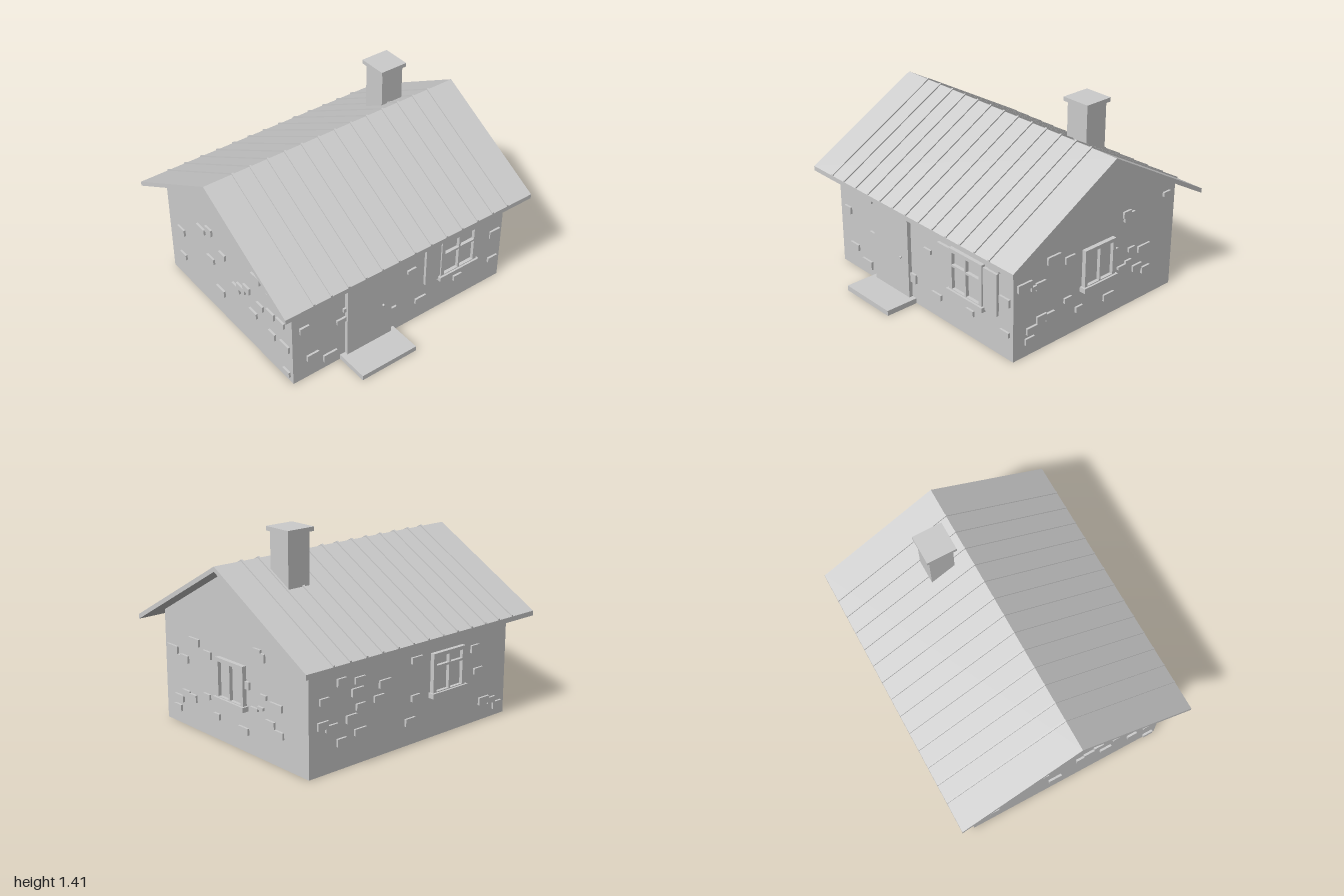
import * as THREE from 'three';

const stone = new THREE.MeshStandardMaterial({ color: 0xcccccc });
stone.name = 'light grey';

function add(parent, geometry, name, x = 0, y = 0, z = 0) {
  const mesh = new THREE.Mesh(geometry, stone);
  mesh.name = name;
  mesh.position.set(x, y, z);
  parent.add(mesh);
  return mesh;
}

// Box given by its limits on each axis
function block(parent, name, x0, x1, y0, y1, z0, z1) {
  return add(parent, new THREE.BoxGeometry(x1 - x0, y1 - y0, z1 - z0), name,
    (x0 + x1) / 2, (y0 + y1) / 2, (z0 + z1) / 2);
}

// Outline in (z, y), extruded along x
function alongX(points, width) {
  const shape = new THREE.Shape(points.map(p => new THREE.Vector2(...p)));
  return new THREE.ExtrudeGeometry(shape, { depth: width, bevelEnabled: false })
    .translate(0, 0, -width / 2).rotateY(-Math.PI / 2);
}

const RIDGE = -0.06, FRONT = 0.665, BACK = -0.78, SIDE = 0.875;
const EAVE_F = 0.785, EAVE_B = -0.905;

// Bent strip following both roof slopes between two heights above the underside
function chevron(low, high, width) {
  return alongX([
    [EAVE_F, 0.685 + low], [EAVE_F, 0.685 + high], [RIDGE, 1.16 + high],
    [EAVE_B, 0.685 + high], [EAVE_B, 0.685 + low], [RIDGE, 1.16 + low],
  ], width);
}

// Raised stones: rows of u0, u1, y0, y1 on a wall
function stones(wall, list) {
  for (const [u0, u1, y0, y1] of list) block(wall, 'wallStone', u0, u1, y0, y1, -0.01, 0.015);
}

// Raised stones of one usual size, given by their centres
function smallStones(wall, list) {
  list.forEach(([u, y], i) => {
    const w = 0.036 + 0.006 * (i % 3), h = 0.021 + 0.004 * (i % 2);
    block(wall, 'wallStone', u - w, u + w, y - h, y + h, -0.01, 0.015);
  });
}

// Window frame with rectangular openings, and a sill below it
function makeWindow(wall, u0, u1, y0, y1, panes) {
  const rect = (path, a, b, c, d) =>
    path.moveTo(a, c).lineTo(b, c).lineTo(b, d).lineTo(a, d).closePath();
  const shape = new THREE.Shape();
  rect(shape, u0, u1, y0, y1);
  for (const p of panes) {
    const hole = new THREE.Path();
    rect(hole, ...p);
    shape.holes.push(hole);
  }
  add(wall, new THREE.ExtrudeGeometry(shape, { depth: 0.03, bevelEnabled: false }), 'windowFrame');
  block(wall, 'windowGlass', u0 + 0.01, u1 - 0.01, y0, y1 - 0.01, 0, 0.006);
  block(wall, 'windowSill', u0 - 0.015, u1 + 0.015, y0 - 0.033, y0, -0.01, 0.045);
}

// Four panes: two tall ones under two short ones
function fourPanes(u0, u1, y0, y1) {
  const m = (u0 + u1) / 2, rows = [[y0 + 0.005, y0 + 0.165], [y0 + 0.18, y1 - 0.025]];
  return rows.flatMap(([a, b]) => [[u0 + 0.028, m - 0.007, a, b], [m + 0.007, u1 - 0.028, a, b]]);
}

export function createModel() {
  const house = new THREE.Group();
  house.name = 'cottage';

  // Walls with gables
  add(house, alongX([
    [FRONT, 0], [FRONT, 0.753], [RIDGE, 1.161], [BACK, 0.753], [BACK, 0],
  ], SIDE * 2), 'walls');

  // Roof and its standing seams
  add(house, chevron(0, 0.033, 2), 'roof');
  for (let i = 0; i < 13; i++) {
    add(house, chevron(0.02, 0.043, 0.013), 'roofSeam', -0.787 + i * 0.1312);
  }

  // Chimney
  block(house, 'chimney', 0.475, 0.645, 0.98, 1.38, -0.333, -0.163);
  block(house, 'chimneyCap', 0.455, 0.662, 1.38, 1.408, -0.353, -0.145);

  // One group per wall: local x runs along the wall, local z points outward
  const wall = (name, x, z, turn) => {
    const group = new THREE.Group();
    group.name = name;
    group.position.set(x, 0, z);
    group.rotation.y = turn;
    house.add(group);
    return group;
  };
  const front = wall('frontWall', 0, FRONT, 0);
  const left = wall('leftWall', SIDE, 0, Math.PI / 2);
  const back = wall('backWall', 0, BACK, Math.PI);
  const right = wall('rightWall', -SIDE, 0, -Math.PI / 2);

  // Door, knob and doorstep
  block(front, 'door', -0.465, -0.105, 0.037, 0.65, -0.01, 0.028);
  add(front, new THREE.SphereGeometry(0.009, 12, 8), 'doorKnob', -0.178, 0.315, 0.034);
  block(front, 'doorstep', -0.505, -0.065, 0, 0.037, -0.01, 0.24);

  // Windows and shutters
  makeWindow(front, 0.312, 0.622, 0.295, 0.585, fourPanes(0.312, 0.622, 0.295, 0.585));
  block(front, 'shutter', 0.187, 0.312, 0.275, 0.57, -0.01, 0.02);
  block(front, 'shutter', 0.622, 0.745, 0.275, 0.57, -0.01, 0.02);
  makeWindow(left, -0.08, 0.195, 0.31, 0.57,
    [[-0.055, 0.05, 0.315, 0.545], [0.063, 0.17, 0.315, 0.545]]);
  makeWindow(back, 0.15, 0.446, 0.31, 0.572, fourPanes(0.15, 0.446, 0.31, 0.572));

  // Stones standing out of the plaster
  stones(front, [
    [-0.82, -0.75, 0.405, 0.455], [-0.58, -0.505, 0.575, 0.61], [-0.77, -0.68, 0.145, 0.19],
    [-0.64, -0.535, 0.055, 0.115], [-0.535, -0.46, 0.325, 0.36], [-0.485, -0.45, 0.405, 0.435],
    [-0.11, -0.05, 0.155, 0.22], [0.04, 0.11, 0.44, 0.47], [0.115, 0.205, 0.14, 0.18],
    [0.45, 0.52, 0.165, 0.205], [0.765, 0.845, 0.165, 0.2], [0.76, 0.85, 0.38, 0.435],
    [0.665, 0.76, 0.58, 0.635], [0.7, 0.785, 0.615, 0.655], [0.065, 0.125, 0.66, 0.7],
    [-0.415, -0.365, 0.68, 0.71],
  ]);
  stones(left, [
    [-0.39, -0.28, 0.58, 0.63], [-0.635, -0.52, 0.48, 0.53], [-0.525, -0.46, 0.45, 0.48],
    [-0.485, -0.405, 0.44, 0.49], [-0.235, -0.155, 0.525, 0.575], [0.28, 0.35, 0.665, 0.71],
    [0.29, 0.385, 0.635, 0.69], [0.66, 0.725, 0.695, 0.725], [0.19, 0.235, 0.425, 0.475],
    [0.34, 0.4, 0.4, 0.43], [0.435, 0.545, 0.36, 0.405], [0.245, 0.315, 0.305, 0.325],
    [0.315, 0.37, 0.325, 0.345], [0.39, 0.475, 0.235, 0.28], [0.48, 0.555, 0.19, 0.235],
    [-0.24, -0.175, 0.25, 0.285], [-0.475, -0.395, 0.2, 0.25], [-0.4, -0.325, 0.19, 0.24],
    [-0.56, -0.47, 0.155, 0.2], [-0.57, -0.495, 0.085, 0.13], [-0.135, -0.075, 0.14, 0.18],
    [0.12, 0.215, 0.12, 0.165],
  ]);
  smallStones(back, [
    [-0.76, 0.47], [-0.77, 0.32], [-0.7, 0.29], [-0.62, 0.56], [-0.47, 0.54], [-0.49, 0.47],
    [-0.465, 0.37], [-0.54, 0.31], [-0.465, 0.21], [-0.62, 0.18], [-0.31, 0.385], [-0.26, 0.47],
    [0.01, 0.31], [-0.035, 0.16], [0.02, 0.56], [0.56, 0.52], [0.6, 0.36], [0.665, 0.135],
    [0.74, 0.12], [0.8, 0.075],
  ]);
  smallStones(right, [
    [-0.62, 0.2], [-0.62, 0.42], [-0.35, 0.61], [-0.25, 0.66], [-0.25, 0.42], [-0.15, 0.21],
    [-0.1, 0.55], [0.05, 0.38], [0.11, 0.42], [0.175, 0.46], [0.24, 0.3], [0.29, 0.63],
    [0.325, 0.42], [0.44, 0.44], [0.46, 0.58], [0.45, 0.27], [0.55, 0.45], [0.59, 0.28],
    [0.6, 0.06],
  ]);

  return house;
}
